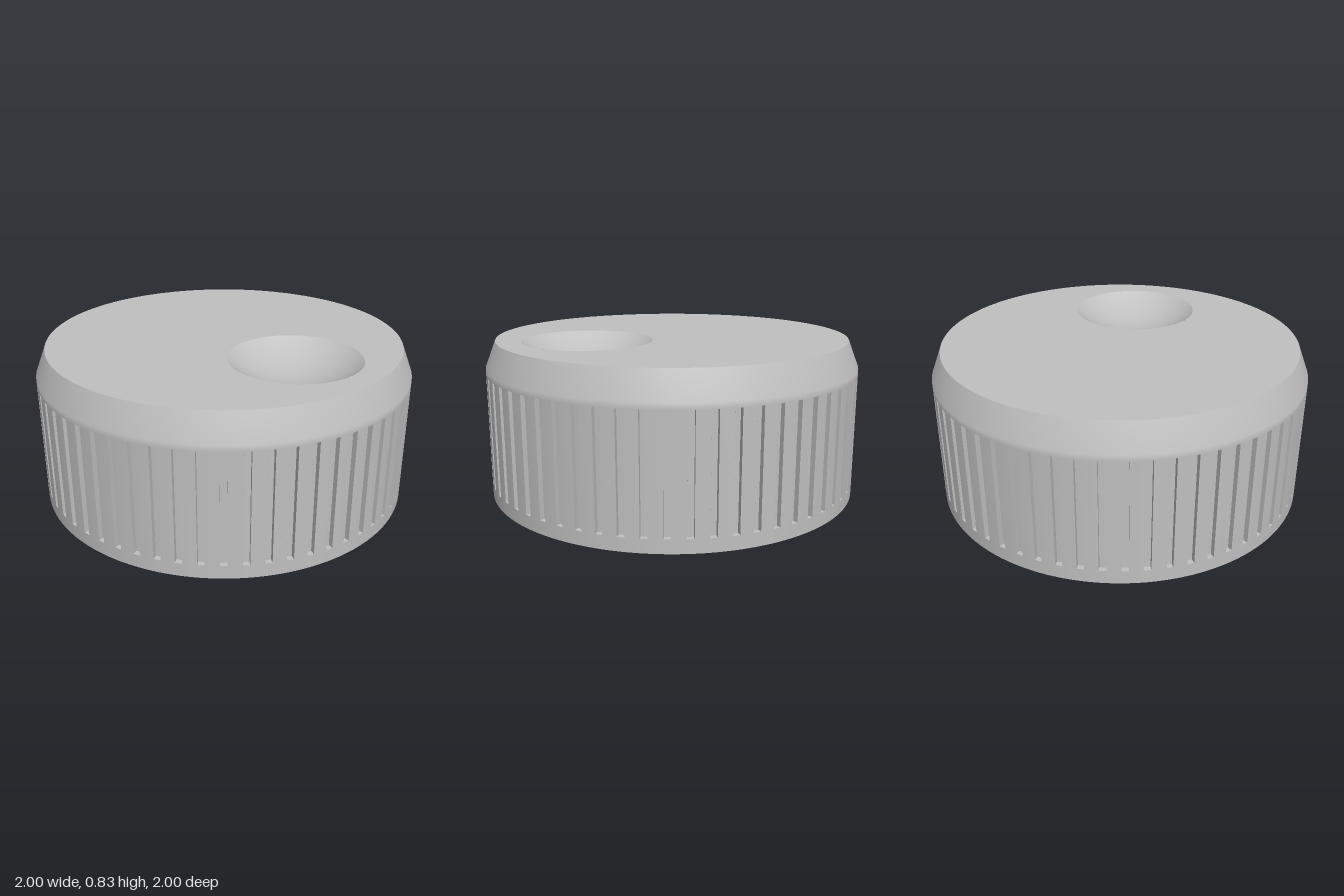
import * as THREE from 'three';
import { mergeGeometries } from 'three/addons/utils/BufferGeometryUtils.js';

const DEG = Math.PI / 180;
const SEGMENTS = 360;
const GROOVES = 60, GROOVE_HALF = 1 * DEG, DEPTH = 0.027;
const GROOVE_LOW = 0.07, GROOVE_HIGH = 0.66;
const TOP = 0.83, TOP_RADIUS = 0.945;

export function createModel() {
  const group = new THREE.Group();
  const grey = new THREE.MeshStandardMaterial({ color: 0xc0c0c0, side: THREE.DoubleSide });
  grey.name = 'satin grey';

  const add = (name, geometry) => {
    const mesh = new THREE.Mesh(geometry, grey);
    mesh.name = name;
    group.add(mesh);
  };
  const lathe = (points, segments = SEGMENTS) =>
    new THREE.LatheGeometry(points.map(([x, y]) => new THREE.Vector2(x, y)), segments);
  const circle = (type, radius, x = 0) => new type().absarc(x, 0, radius, 0, Math.PI * 2, false);

  // Plain skirt under the grip and softened shoulder above it
  add('skirt', lathe([[1, 0], [1, GROOVE_LOW]]));
  add('shoulder', lathe([[1, GROOVE_HIGH], [1, 0.69], [TOP_RADIUS, TOP]]));

  // Fluted grip: raised lands, groove side walls, and the recessed core
  const height = GROOVE_HIGH - GROOVE_LOW, middle = (GROOVE_HIGH + GROOVE_LOW) / 2;
  const pitch = Math.PI * 2 / GROOVES;
  const lands = [], walls = [];
  for (let i = 0; i < GROOVES; i++) {
    const angle = i * pitch;
    lands.push(new THREE.CylinderGeometry(1, 1, height, 4, 1, true,
      angle + GROOVE_HALF, pitch - 2 * GROOVE_HALF).translate(0, middle, 0));
    for (const side of [-1, 1]) {
      walls.push(new THREE.PlaneGeometry(DEPTH, height)
        .rotateY(-side * Math.PI / 2)
        .translate(side * Math.sin(GROOVE_HALF), middle, 1 - DEPTH / 2)
        .rotateY(angle));
    }
  }
  add('gripLands', mergeGeometries(lands));
  add('grooveWalls', mergeGeometries(walls));
  add('grooveFloors', lathe([[1 - DEPTH, GROOVE_LOW], [1 - DEPTH, GROOVE_HIGH]]));
  for (const [name, y, turn] of [['lowerGrooveEnds', GROOVE_LOW, -1], ['upperGrooveEnds', GROOVE_HIGH, 1]]) {
    add(name, new THREE.RingGeometry(1 - DEPTH, 1, SEGMENTS)
      .rotateX(turn * Math.PI / 2).translate(0, y, 0));
  }

  // Flat top with a spherical finger dimple
  const dimpleX = 0.48, dimpleRadius = 0.342, dimpleDepth = 0.115;
  const face = circle(THREE.Shape, TOP_RADIUS);
  face.holes.push(circle(THREE.Path, dimpleRadius, dimpleX));
  add('topFace', new THREE.ShapeGeometry(face, 180).rotateX(-Math.PI / 2).translate(0, TOP, 0));

  const sphere = (dimpleRadius ** 2 + dimpleDepth ** 2) / (2 * dimpleDepth);
  const edge = Math.asin(dimpleRadius / sphere);
  const bowl = [];
  for (let i = 0; i <= 20; i++) {
    const a = edge * (1 - i / 20);
    bowl.push([sphere * Math.sin(a), TOP + sphere * (Math.cos(edge) - Math.cos(a))]);
  }
  add('fingerDimple', lathe(bowl, 180).translate(dimpleX, 0, 0));

  // Underside with a D-shaped shaft socket
  const shaft = 0.107, flatX = 0.068, holeDepth = 0.45;
  const flat = Math.acos(flatX / shaft);
  const dShape = (type) => new type().absarc(0, 0, shaft, flat, Math.PI * 2 - flat, false).closePath();
  const base = circle(THREE.Shape, 1);
  base.holes.push(dShape(THREE.Path));
  add('underside', new THREE.ShapeGeometry(base, 180).rotateX(Math.PI / 2));
  add('socketWall', new THREE.CylinderGeometry(shaft, shaft, holeDepth, 64, 1, true,
    Math.PI / 2 + flat, Math.PI * 2 - 2 * flat).translate(0, holeDepth / 2, 0));
  add('socketFlat', new THREE.PlaneGeometry(2 * shaft * Math.sin(flat), holeDepth)
    .rotateY(-Math.PI / 2).translate(flatX, holeDepth / 2, 0));
  add('socketEnd', new THREE.ShapeGeometry(dShape(THREE.Shape), 64)
    .rotateX(Math.PI / 2).translate(0, holeDepth, 0));

  return group;
}
